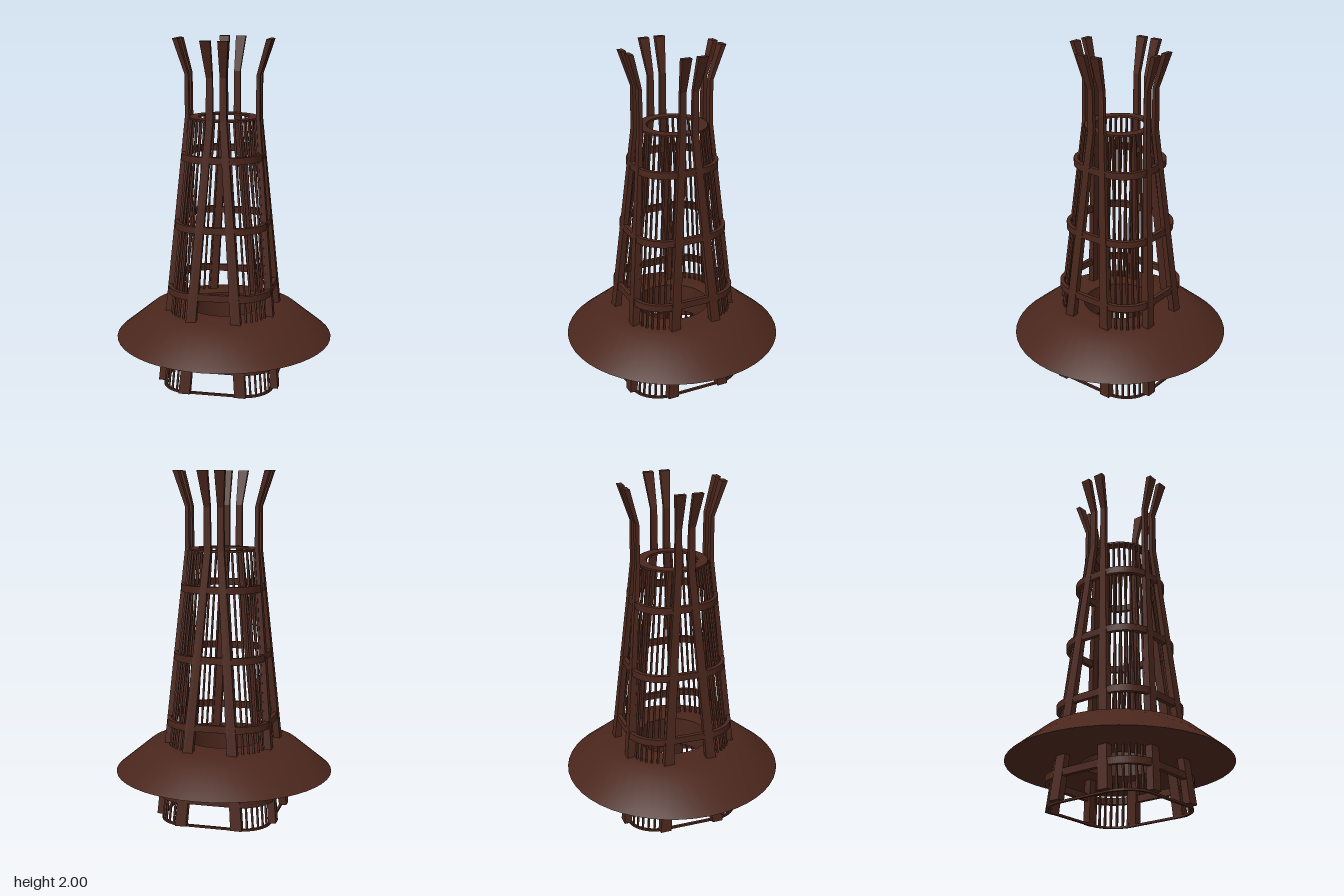
import * as THREE from 'three';
import { toCreasedNormals } from 'three/addons/utils/BufferGeometryUtils.js';

const wood = new THREE.MeshStandardMaterial({ color: 0x4a261c });
const DEPTH_EXTRA = 0.013; // the tower is slightly deeper (z) than wide (x)

// Post section per level: y, inner/outer distance from axis, near/far sideways offset
const LEVELS = [
  [0.01, 0.31, 0.355, 0.13, 0.195],
  [1.56, 0.192, 0.215, 0.018, 0.058],
  [1.8, 0.194, 0.215, 0.02, 0.056],
  [2.0, 0.25, 0.28, 0.02, 0.078],
];

function mesh(geometry, name, parent) {
  const m = new THREE.Mesh(geometry, wood);
  m.name = name;
  parent.add(m);
  return m;
}

// Post: a box whose rows are moved to the section at each level
function postGeometry(sign, extra) {
  const g = new THREE.BoxGeometry(1, 3, 1, 1, 3, 1);
  const p = g.attributes.position;
  for (let i = 0; i < p.count; i++) {
    const [y, r0, r1, a, b] = LEVELS[Math.round(p.getY(i) + 1.5)];
    const x = sign * (a + b) / 2 + p.getX(i) * (b - a);
    p.setXYZ(i, x, y, (p.getZ(i) > 0 ? r1 : r0) + extra);
  }
  const flat = g.toNonIndexed();
  flat.computeVertexNormals();
  return flat;
}

// Rectangle with elliptical corners whose centres sit at (c, c)
function roundedOutline(target, hx, hz, c) {
  target.moveTo(hx, -c);
  target.lineTo(hx, c);
  target.absellipse(c, c, hx - c, hz - c, 0, Math.PI / 2);
  target.lineTo(-c, hz);
  target.absellipse(-c, c, hx - c, hz - c, Math.PI / 2, Math.PI);
  target.lineTo(-hx, -c);
  target.absellipse(-c, -c, hx - c, hz - c, Math.PI, Math.PI * 1.5);
  target.lineTo(c, -hz);
  target.absellipse(c, -c, hx - c, hz - c, Math.PI * 1.5, Math.PI * 2);
  return target;
}

// Horizontal hoop following the rounded plan of the tower
function hoopGeometry(half, corner, thick, height) {
  const hz = half + DEPTH_EXTRA;
  const shape = roundedOutline(new THREE.Shape(), half, hz, corner);
  shape.holes.push(roundedOutline(new THREE.Path(), half - thick, hz - thick, corner));
  const g = new THREE.ExtrudeGeometry(shape, { depth: height, bevelEnabled: false, curveSegments: 10 });
  g.translate(0, 0, -height / 2);
  g.rotateX(-Math.PI / 2);
  return g;
}

// Closed profile spun around the axis
function spun(points, segments) {
  const pts = points.map(([r, y]) => new THREE.Vector2(r, y));
  return toCreasedNormals(new THREE.LatheGeometry(pts, segments), 0.7);
}

export function createModel() {
  const model = new THREE.Group();
  model.name = 'slattedTower';

  // Four pairs of leaning posts with flared tips
  const posts = new THREE.Group();
  posts.name = 'posts';
  model.add(posts);
  for (let k = 0; k < 4; k++) {
    for (const sign of [-1, 1]) {
      const post = mesh(postGeometry(sign, k % 2 ? 0 : DEPTH_EXTRA), 'post', posts);
      post.rotation.y = k * Math.PI / 2;
    }
  }

  // Hoops tying the posts together
  for (const y of [0.16, 0.575, 0.955, 1.345]) {
    const t = (y - 0.01) / 1.55;
    const half = THREE.MathUtils.lerp(0.355, 0.215, t) - 0.002;
    const corner = THREE.MathUtils.lerp(0.162, 0.038, t);
    mesh(hoopGeometry(half, corner, 0.024, 0.04), 'hoop', model).position.y = y;
  }

  // Thin sill at the foot and flat ring at the top of the slats
  mesh(hoopGeometry(0.325, 0.162, 0.015, 0.012), 'baseSill', model).position.y = 0.006;
  mesh(spun([[0.145, 1.562], [0.145, 1.55], [0.2, 1.55], [0.2, 1.562], [0.145, 1.562]], 48), 'topRing', model);

  // Slats filling the four rounded corners
  const slats = new THREE.Group();
  slats.name = 'slats';
  model.add(slats);
  const up = new THREE.Vector3(0, 1, 0);
  const COUNT = 7;
  for (const sx of [-1, 1]) for (const sz of [-1, 1]) {
    for (let i = 0; i < COUNT; i++) {
      const f = i / (COUNT - 1);
      const a = THREE.MathUtils.degToRad(8 + 74 * f);
      const b = THREE.MathUtils.degToRad(18 + 54 * f);
      const foot = new THREE.Vector3(
        sx * (0.162 + 0.155 * Math.cos(a)), 0.005, sz * (0.162 + 0.168 * Math.sin(a)));
      const head = new THREE.Vector3(sx * 0.2 * Math.cos(b), 1.555, sz * 0.2 * Math.sin(b));
      const dir = head.clone().sub(foot);
      const slat = mesh(new THREE.BoxGeometry(0.011, dir.length(), 0.011), 'slat', slats);
      slat.position.copy(foot).add(head).multiplyScalar(0.5);
      slat.quaternion.setFromUnitVectors(up, dir.normalize());
    }
  }

  // Wide sloping skirt with a flat underside and a round opening
  mesh(spun([[0.215, 0.44], [0.215, 0.26], [0.635, 0.26], [0.44, 0.42], [0.33, 0.435], [0.215, 0.44]], 48),
    'skirt', model);

  return model;
}
